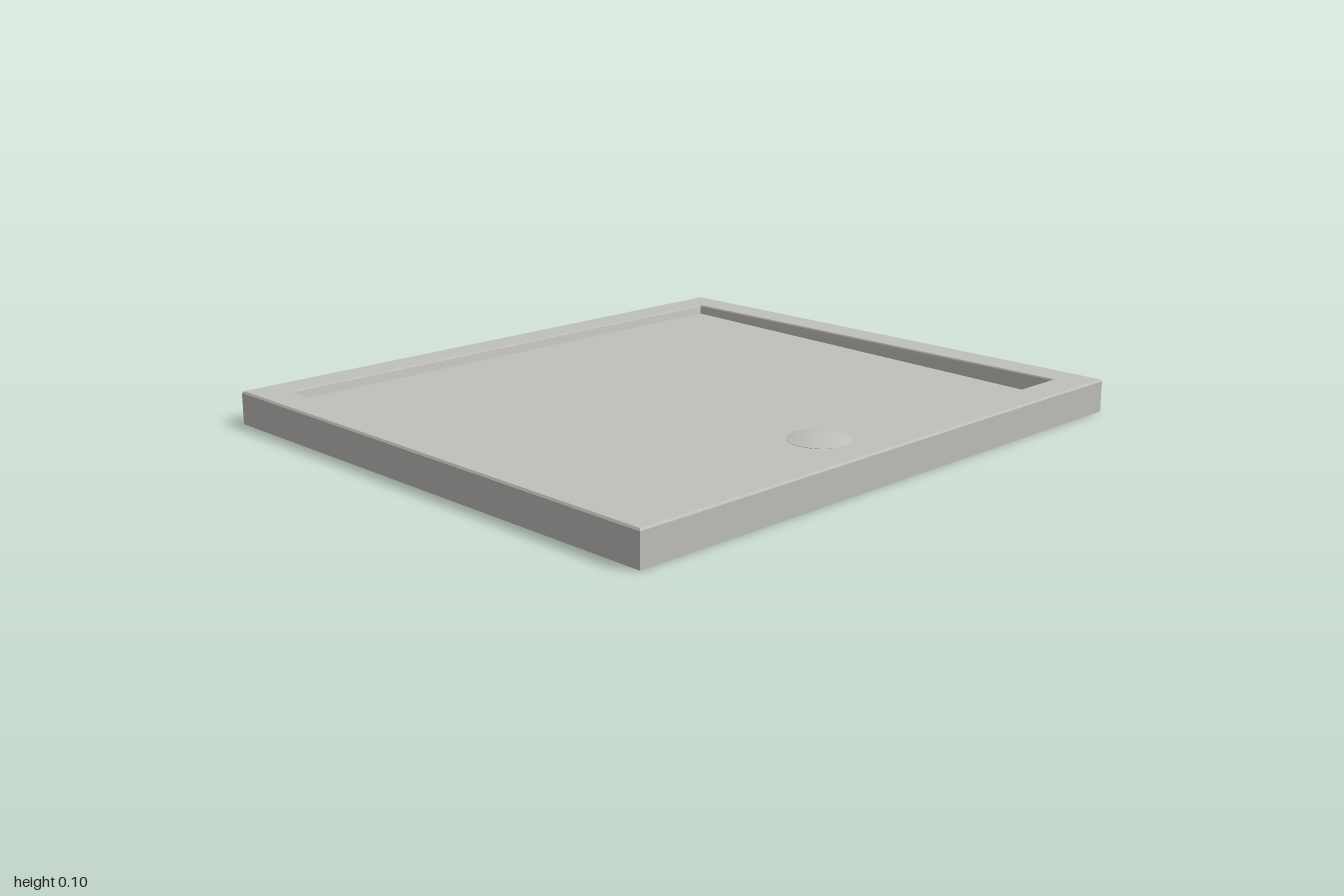
import * as THREE from 'three';

const TOP = 0.105;

// Lofts rectangular rings [halfX, halfZ, yLeft(-x), yRight(+x)] from first to last.
function loftRings(rings, closeEnd) {
  const pos = [], idx = [];
  for (const [hx, hz, yn, yp] of rings) {
    pos.push(-hx, yn, hz, hx, yp, hz, hx, yp, -hz, -hx, yn, -hz);
  }
  for (let r = 0; r < rings.length - 1; r++) {
    for (let i = 0; i < 4; i++) {
      const j = (i + 1) % 4, a = r * 4, b = a + 4;
      idx.push(a + i, a + j, b + j, a + i, b + j, b + i);
    }
  }
  if (closeEnd) {
    const e = (rings.length - 1) * 4;
    idx.push(e, e + 1, e + 2, e, e + 2, e + 3);
  }
  const indexed = new THREE.BufferGeometry();
  indexed.setAttribute('position', new THREE.Float32BufferAttribute(pos, 3));
  indexed.setIndex(idx);
  const geo = indexed.toNonIndexed();
  geo.computeVertexNormals();
  return geo;
}

export function createModel() {
  const group = new THREE.Group();
  group.name = 'showerTray';
  const enamel = new THREE.MeshStandardMaterial({ color: 0xc0bfbb, side: THREE.DoubleSide });
  enamel.name = 'greyEnamel';

  const add = (name, geo) => {
    const mesh = new THREE.Mesh(geo, enamel);
    mesh.name = name;
    group.add(mesh);
    return mesh;
  };

  // Outer skirt, open underneath, with a small bevel at the top edge
  add('skirt', loftRings([
    [0.886, 1, 0, 0],
    [0.886, 1, TOP - 0.006, TOP - 0.006],
    [0.881, 0.995, TOP, TOP],
  ], false));

  // Flat rim around the basin
  add('rim', loftRings([
    [0.881, 0.995, TOP, TOP],
    [0.781, 0.894, TOP, TOP],
  ], false));

  // Basin with steep walls and a floor falling towards the drain side
  const yLeft = TOP - 0.03, yRight = TOP - 0.055;
  add('basin', loftRings([
    [0.781, 0.894, TOP, TOP],
    [0.778, 0.891, TOP - 0.004, TOP - 0.004],
    [0.772, 0.884, yLeft, yRight],
  ], true));

  // Shallow domed drain cover
  const drainX = 0.58, radius = 0.096;
  const floorY = yLeft + (yRight - yLeft) * (drainX + 0.772) / 1.544;
  const dome = [];
  for (let i = 0; i <= 8; i++) {
    const t = i / 8;
    dome.push(new THREE.Vector2(radius * (1 - t), 0.001 + 0.013 * (1 - (1 - t) ** 2)));
  }
  const cover = add('drainCover', new THREE.LatheGeometry(dome, 48));
  cover.position.set(drainX, floorY, 0);

  // Short collar of the drain below the floor
  const collar = add('drainCollar', new THREE.CylinderGeometry(radius, radius, 0.008, 48, 1, true));
  collar.position.set(drainX, floorY - 0.003, 0);
  const slope = Math.atan2(yRight - yLeft, 1.544);
  cover.rotation.z = collar.rotation.z = slope;

  return group;
}
